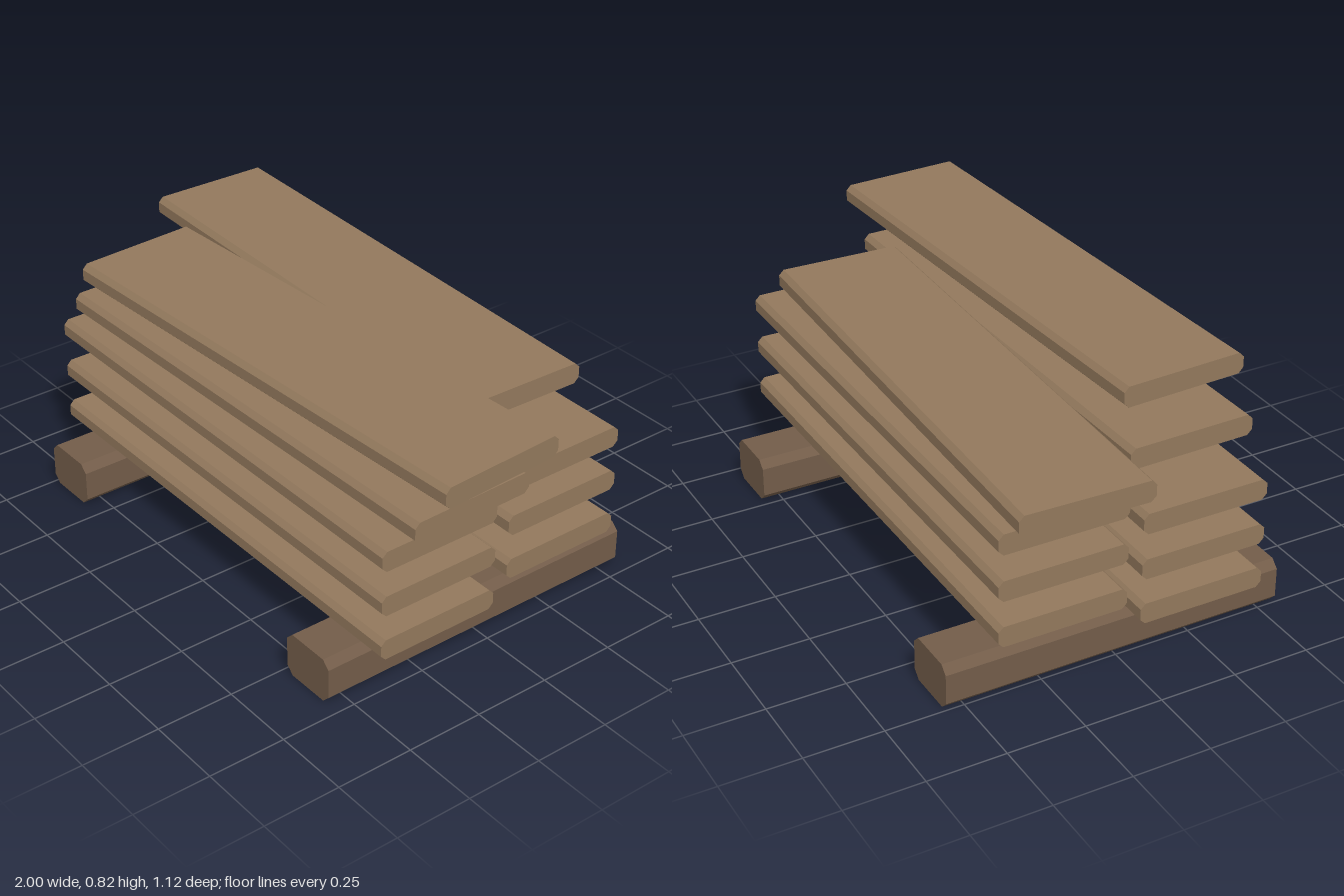
import * as THREE from 'three';

const plankMaterial = new THREE.MeshStandardMaterial({ color: 0x92785c, flatShading: true });
const railMaterial = new THREE.MeshStandardMaterial({ color: 0x725c49, flatShading: true });

// Beam along z with chamfered long edges, centred on the origin
function beamGeometry(width, height, length, c) {
  const w = width / 2, h = height / 2;
  const shape = new THREE.Shape([
    [-w + c, -h], [w - c, -h], [w, -h + c], [w, h - c],
    [w - c, h], [-w + c, h], [-w, h - c], [-w, -h + c],
  ].map(([x, y]) => new THREE.Vector2(x, y)));
  return new THREE.ExtrudeGeometry(shape, { depth: length, bevelEnabled: false })
    .translate(0, 0, -length / 2);
}

export function createModel() {
  const group = new THREE.Group();
  group.name = 'plankStack';

  // Two bearer rails on the ground
  const railGeometry = beamGeometry(0.194, 0.147, 1.12, 0.025);
  for (const [name, x] of [['rightRail', -0.657], ['leftRail', 0.611]]) {
    const rail = new THREE.Mesh(railGeometry, railMaterial);
    rail.name = name;
    rail.position.set(x, 0.0735, 0);
    group.add(rail);
  }

  // Planks alternate front and back; the top three are shifted and twisted
  const plankGeometry = beamGeometry(0.415, 0.067, 1.63, 0.016).rotateY(Math.PI / 2);
  const loose = { 6: [0.088, 0.021], 7: [-0.18, -0.029], 8: [0.175, 0.05] };
  for (let i = 0; i < 9; i++) {
    const [x, turn] = loose[i] ?? [-0.022, 0];
    const front = i % 2 === 0;
    const plank = new THREE.Mesh(plankGeometry, plankMaterial);
    plank.name = (front ? 'frontPlank' : 'backPlank') + (Math.floor(i / 2) + 1);
    plank.position.set(x, 0.184 + i * 0.0755, front ? 0.232 : -0.231);
    plank.rotation.y = turn;
    group.add(plank);
  }
  return group;
}
